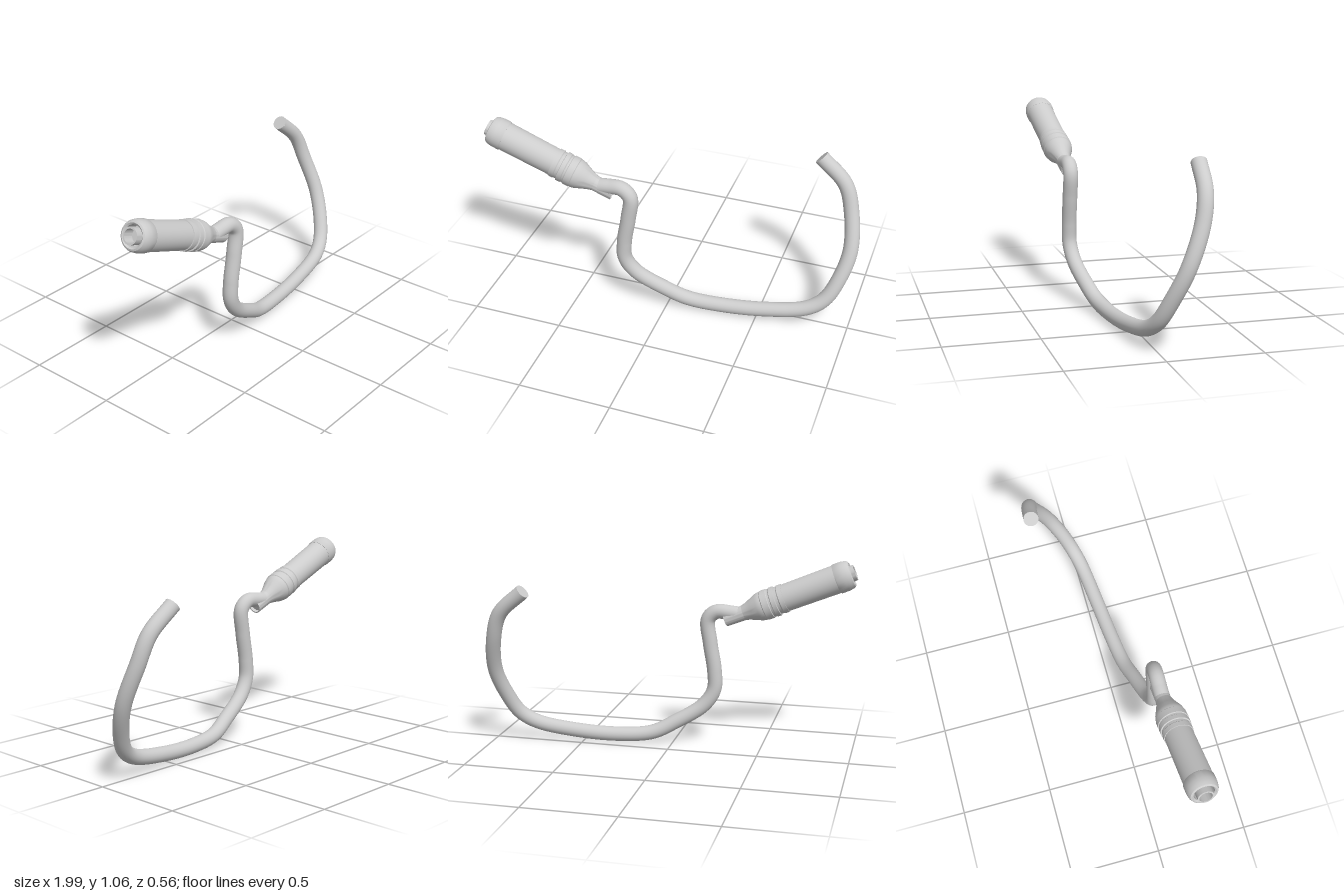
import * as THREE from 'three';
import { toCreasedNormals } from 'three/addons/utils/BufferGeometryUtils.js';

export function createModel() {
  const model = new THREE.Group();
  const grey = new THREE.MeshStandardMaterial({ color: 0xcccccc });
  grey.name = 'light grey';

  const add = (parent, name, geometry) => {
    const mesh = new THREE.Mesh(geometry, grey);
    mesh.name = name;
    parent.add(mesh);
    return mesh;
  };
  // Profile is [radius, distance from the tip], outside wound upwards
  const turned = (profile) => toCreasedNormals(
    new THREE.LatheGeometry(profile.map(([r, t]) => new THREE.Vector2(r, t)), 40), 0.5);

  // Plug: local y runs from the contact tip to the cable end
  const plug = new THREE.Group();
  plug.name = 'plug';
  const tip = new THREE.Vector3(-0.98, 1.01, 0.203);
  const end = new THREE.Vector3(-0.285, 0.724, 0.172);
  const length = tip.distanceTo(end);
  plug.position.copy(tip);
  plug.quaternion.setFromUnitVectors(new THREE.Vector3(0, 1, 0), end.clone().sub(tip).normalize());
  model.add(plug);

  add(plug, 'contactSleeve', turned([
    [0, 0.06], [0.034, 0.06], [0.034, 0], [0.043, 0], [0.043, 0.09],
  ]));
  add(plug, 'frontCollar', turned([
    [0, 0.085], [0.054, 0.085], [0.054, 0.025], [0.062, 0.018], [0.071, 0.022],
    [0.078, 0.036], [0.082, 0.06], [0.082, 0.1], [0.079, 0.106], [0.07, 0.106],
  ]));
  add(plug, 'barrel', turned([[0.078, 0.1], [0.075, 0.41]]));
  add(plug, 'gripRings', turned([
    [0.07, 0.4], [0.079, 0.4], [0.08, 0.425], [0.076, 0.43], [0.076, 0.445],
    [0.083, 0.447], [0.083, 0.47], [0.079, 0.474], [0.079, 0.484], [0.083, 0.487],
    [0.083, 0.522], [0.079, 0.526], [0.07, 0.526],
  ]));
  add(plug, 'taperedNeck', turned([
    [0.079, 0.52], [0.08, 0.535], [0.075, 0.555], [0.06, 0.59], [0.048, 0.62], [0.042, 0.642],
  ]));
  add(plug, 'cableStem', turned([
    [0.042, 0.635], [0.04, length], [0.034, length], [0.034, length - 0.02], [0, length - 0.02],
  ]));

  // Cable: hooks off the stem, drops, sweeps right and curls up to the back
  const path = new THREE.CatmullRomCurve3([
    [-0.36, 0.757, 0.176], [-0.31, 0.762, 0.176], [-0.235, 0.764, 0.178], [-0.188, 0.72, 0.18],
    [-0.2, 0.585, 0.182], [-0.226, 0.425, 0.182], [-0.225, 0.318, 0.18], [-0.168, 0.227, 0.168],
    [-0.01, 0.125, 0.135], [0.115, 0.065, 0.107], [0.3, 0.047, 0.083], [0.54, 0.06, 0.057],
    [0.767, 0.104, 0.025], [0.857, 0.163, -0.005], [0.916, 0.275, -0.05], [0.955, 0.44, -0.12],
    [0.927, 0.64, -0.195], [0.875, 0.785, -0.225], [0.735, 0.912, -0.24],
  ].map((p) => new THREE.Vector3(...p)));
  const radius = 0.041;
  add(model, 'cable', new THREE.TubeGeometry(path, 160, radius, 24));

  // Flat discs closing both cable ends
  [[0, -1], [1, 1]].forEach(([u, sign]) => {
    const cap = add(model, u ? 'cableEndCap' : 'cableStartCap', new THREE.CircleGeometry(radius, 24));
    cap.position.copy(path.getPointAt(u));
    cap.lookAt(path.getTangentAt(u).multiplyScalar(sign).add(cap.position));
  });
  return model;
}
